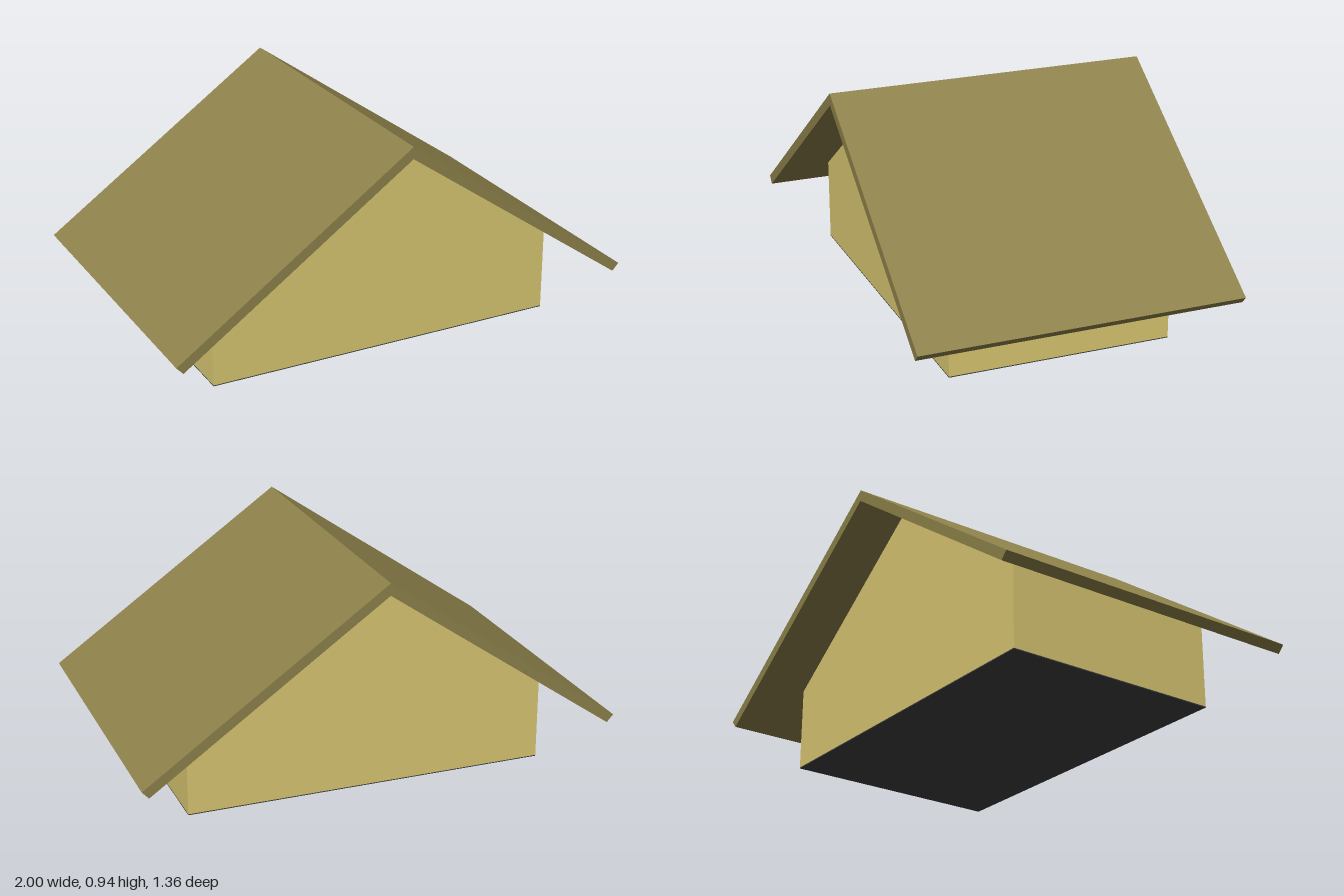
import * as THREE from 'three';

// Extrudes an outline in x/y along z, centred on z = 0
function prism(name, points, depth, color) {
  const shape = new THREE.Shape(points.map(([x, y]) => new THREE.Vector2(x, y)));
  const geometry = new THREE.ExtrudeGeometry(shape, { depth, bevelEnabled: false });
  geometry.translate(0, 0, -depth / 2);
  const mesh = new THREE.Mesh(geometry, new THREE.MeshStandardMaterial({ color, flatShading: true }));
  mesh.name = name;
  return mesh;
}

export function createModel() {
  const group = new THREE.Group();
  group.name = 'gabledHouse';

  const slope = 0.7, ridge = 0.94, underRidge = 0.89;
  const wallX = 0.762, wallDepth = 0.94, floorTop = 0.004;
  const wallTop = underRidge - slope * wallX;

  // Walls with gable ends
  group.add(prism('walls', [
    [-wallX, floorTop], [wallX, floorTop], [wallX, wallTop], [0, underRidge], [-wallX, wallTop],
  ], wallDepth, 0xdac872));

  // Dark floor closing the underside
  const floor = new THREE.Mesh(
    new THREE.BoxGeometry(wallX * 2, floorTop, wallDepth),
    new THREE.MeshStandardMaterial({ color: 0x404040 }),
  );
  floor.name = 'floor';
  floor.position.y = floorTop / 2;
  group.add(floor);

  // Two roof slabs meeting at the ridge, eave ends cut square to the slope
  const eaveX = 0.972;
  const underEave = underRidge - slope * eaveX;
  group.add(prism('roof', [
    [0, underRidge], [eaveX, underEave], [1, ridge - slope], [0, ridge],
    [-1, ridge - slope], [-eaveX, underEave],
  ], 1.36, 0x8e824b));

  return group;
}
